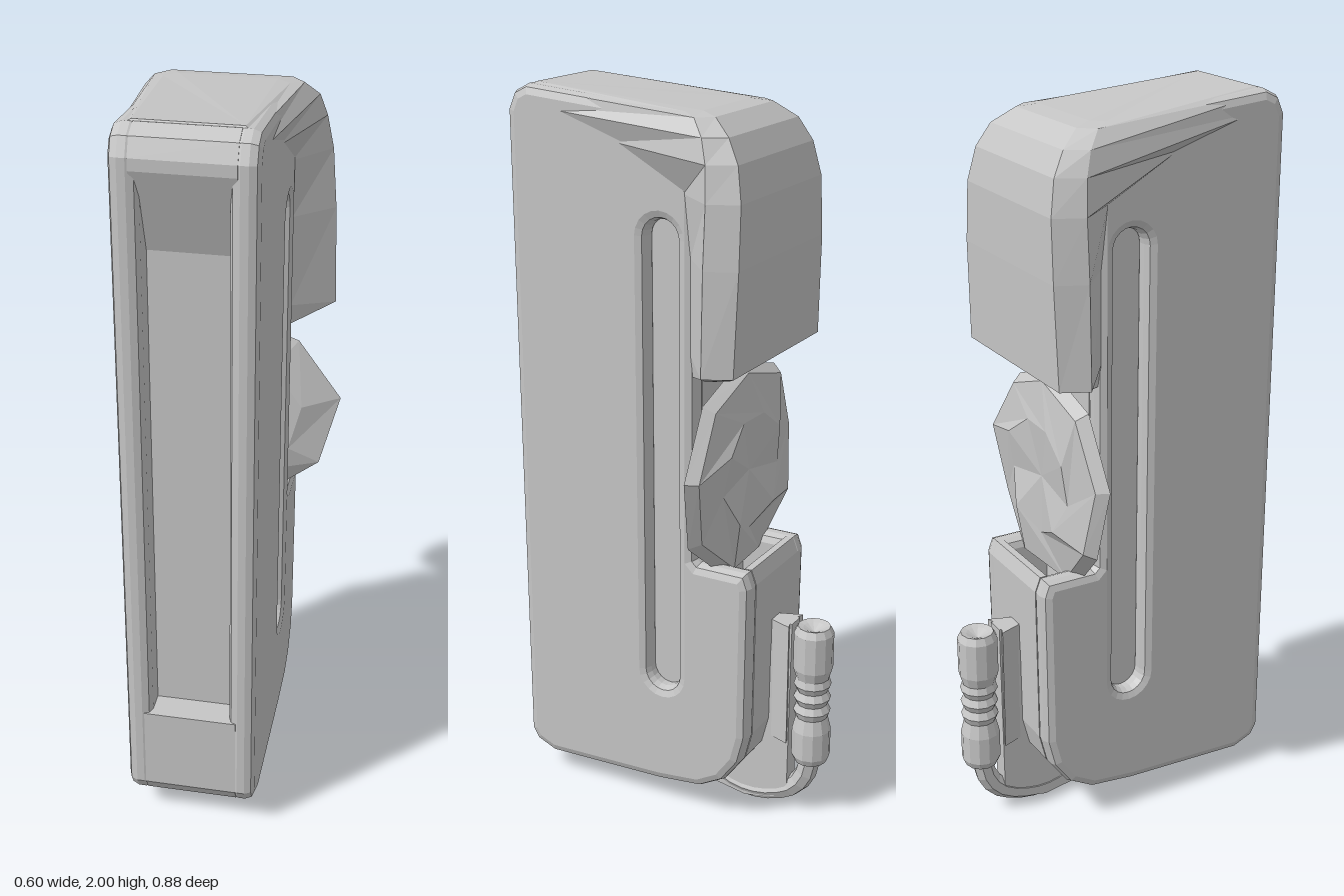
import * as THREE from 'three';

const grey = new THREE.MeshStandardMaterial({ color: 0xc6c6c6, flatShading: true });
grey.name = 'light grey';

const V = (pts) => pts.map(([a, b]) => new THREE.Vector2(a, b));

function add(group, name, geometry) {
  const mesh = new THREE.Mesh(geometry, grey);
  mesh.name = name;
  group.add(mesh);
  return mesh;
}

// Extrude a (z, y) side profile across x, between x0 and x1
function slab(shape, x0, x1, bevel = 0) {
  const g = new THREE.ExtrudeGeometry(shape, {
    depth: x1 - x0 - 2 * bevel, bevelEnabled: bevel > 0, bevelSize: bevel,
    bevelThickness: bevel, bevelOffset: -bevel, bevelSegments: 2, curveSegments: 5,
  });
  g.rotateY(-Math.PI / 2);
  return g.translate(x1 - bevel, 0, 0);
}

// Hood: mirrored six-point sections stacked upward
function hoodGeometry() {
  // y, front z, front half width, widest half width, its z, back z, drop of the back edge
  const rows = [
    [1.29, -0.10, 0.16, 0.18, -0.15, -0.20, 0],
    [1.35, -0.10, 0.17, 0.28, -0.19, -0.262, 0.02],
    [1.60, -0.10, 0.17, 0.272, -0.19, -0.27, 0],
    [1.76, -0.08, 0.17, 0.26, -0.19, -0.268, 0],
    [1.87, 0.12, 0.17, 0.243, -0.18, -0.25, 0.02],
    [1.94, 0.36, 0.165, 0.225, -0.16, -0.215, 0.03],
    [1.985, 0.39, 0.155, 0.19, -0.12, -0.16, 0.035],
    [1.998, 0.37, 0.13, 0.16, -0.08, -0.11, 0.04],
  ];
  const pos = [], idx = [], n = 6;
  for (const [y, zf, wf, w, zm, zb, drop] of rows) {
    const half = [[wf, y, zf], [w, y - drop, zm], [w - 0.035, y - drop, zb]];
    half.forEach((p) => pos.push(...p));
    half.reverse().forEach(([x, py, z]) => pos.push(-x, py, z));
  }
  for (let r = 0; r < rows.length - 1; r++) {
    for (let i = 0; i < n; i++) {
      const a = r * n + i, b = r * n + (i + 1) % n;
      idx.push(a, b, b + n, a, b + n, a + n);
    }
  }
  const top = (rows.length - 1) * n;
  for (let i = 1; i < n - 1; i++) idx.push(0, i + 1, i, top, top + i, top + i + 1);
  const g = new THREE.BufferGeometry();
  g.setAttribute('position', new THREE.Float32BufferAttribute(pos, 3));
  g.setIndex(idx);
  g.computeVertexNormals();
  return g;
}

// Faceted knob: lathe with uneven rim and twisted inner ring
function knobGeometry() {
  const g = new THREE.LatheGeometry(
    V([[0, 0], [0.2, 0.0], [0.3, 0.035], [0.275, 0.065], [0.16, 0.085], [0, 0.07]]), 9);
  const p = g.attributes.position;
  for (let i = 0; i < p.count; i++) {
    const x = p.getX(i), y = p.getY(i), z = p.getZ(i), r = Math.hypot(x, z);
    let a = Math.atan2(z, x);
    const s = 1 + 0.04 * Math.sin(3 * a + 1);
    const dy = y > 0.01 && r > 0.1 ? 0.012 * Math.sin(4 * a) : 0;
    if (y > 0.08) a += Math.PI / 9;
    p.setXYZ(i, r * s * Math.cos(a), y + dy, r * s * Math.sin(a));
  }
  g.rotateX(-Math.PI / 2);
  g.computeVertexNormals();
  return g.translate(0, 1.0, -0.115);
}

export function createModel() {
  const model = new THREE.Group();
  model.name = 'device';

  const lower = [[0.44, 0.12], [0.42, 0.085], [0.36, 0.06], [0, 0.075], [-0.13, 0.09],
    [-0.2, 0.13], [-0.25, 0.2], [-0.27, 0.28], [-0.275, 0.73], [-0.26, 0.77]];
  const upper = [[-0.11, 0.78], [-0.11, 1.75], [-0.09, 1.9], [-0.04, 1.96], [0.38, 1.995],
    [0.42, 1.975], [0.44, 1.93]];

  // Core with the front recess and the hollow of the rear pocket
  const core = new THREE.Shape(V([...lower, [-0.24, 0.77], [-0.24, 0.6], [-0.12, 0.6], ...upper,
    [0.44, 1.9], [0.36, 1.68], [0.36, 0.36], [0.44, 0.36]]));
  add(model, 'bodyCore', slab(core, -0.125, 0.125));

  // Bevelled side walls, each with a long rounded slot
  const wall = new THREE.Shape(V([...lower, [-0.12, 0.77], ...upper]));
  const slot = new THREE.Path();
  const zc = -0.012, r = 0.047;
  slot.absarc(zc, 1.64, r, 0, Math.PI, false);
  slot.absarc(zc, 0.42, r, Math.PI, 2 * Math.PI, false);
  slot.closePath();
  wall.holes.push(slot);
  add(model, 'leftWall', slab(wall, 0.105, 0.175, 0.025));
  add(model, 'rightWall', slab(wall, -0.175, -0.105, 0.025));

  add(model, 'rearHood', hoodGeometry());
  add(model, 'rearKnob', knobGeometry());

  // Thin web beneath the body that carries the cord
  const web = new THREE.Shape(V([[-0.02, 0.08], [-0.1, 0.025], [-0.2, 0.008], [-0.29, 0.03],
    [-0.33, 0.08], [-0.335, 0.585], [-0.28, 0.585], [-0.25, 0.25], [-0.18, 0.12]]));
  add(model, 'cordWeb', slab(web, -0.025, 0.025));

  // Bracket behind the pocket, wider toward the back
  const bracket = new THREE.Shape(V([[0.022, 0.27], [0.045, 0.335], [0, 0.32], [-0.045, 0.335],
    [-0.022, 0.27]]));
  const bg = new THREE.ExtrudeGeometry(bracket, { depth: 0.36, bevelEnabled: false });
  add(model, 'cordBracket', bg.rotateX(-Math.PI / 2).translate(0, 0.225, 0));

  // Cord curling from the underside up into the plug
  const path = new THREE.CatmullRomCurve3([[0.09, -0.05], [0.034, -0.16], [0.032, -0.25],
    [0.07, -0.34], [0.13, -0.38], [0.2, -0.39]].map(([y, z]) => new THREE.Vector3(0, y, z)));
  add(model, 'cord', new THREE.TubeGeometry(path, 12, 0.03, 7, false));

  // Plug with a ribbed waist
  const plug = new THREE.LatheGeometry(V([[0, 0.165], [0.045, 0.17], [0.054, 0.19], [0.054, 0.27],
    [0.044, 0.31], [0.052, 0.33], [0.042, 0.35], [0.052, 0.37], [0.042, 0.39], [0.052, 0.41],
    [0.046, 0.43], [0.055, 0.46], [0.055, 0.565], [0.045, 0.585], [0.03, 0.58], [0, 0.565]]), 12);
  add(model, 'plug', plug.translate(0, 0, -0.39));

  return model;
}
